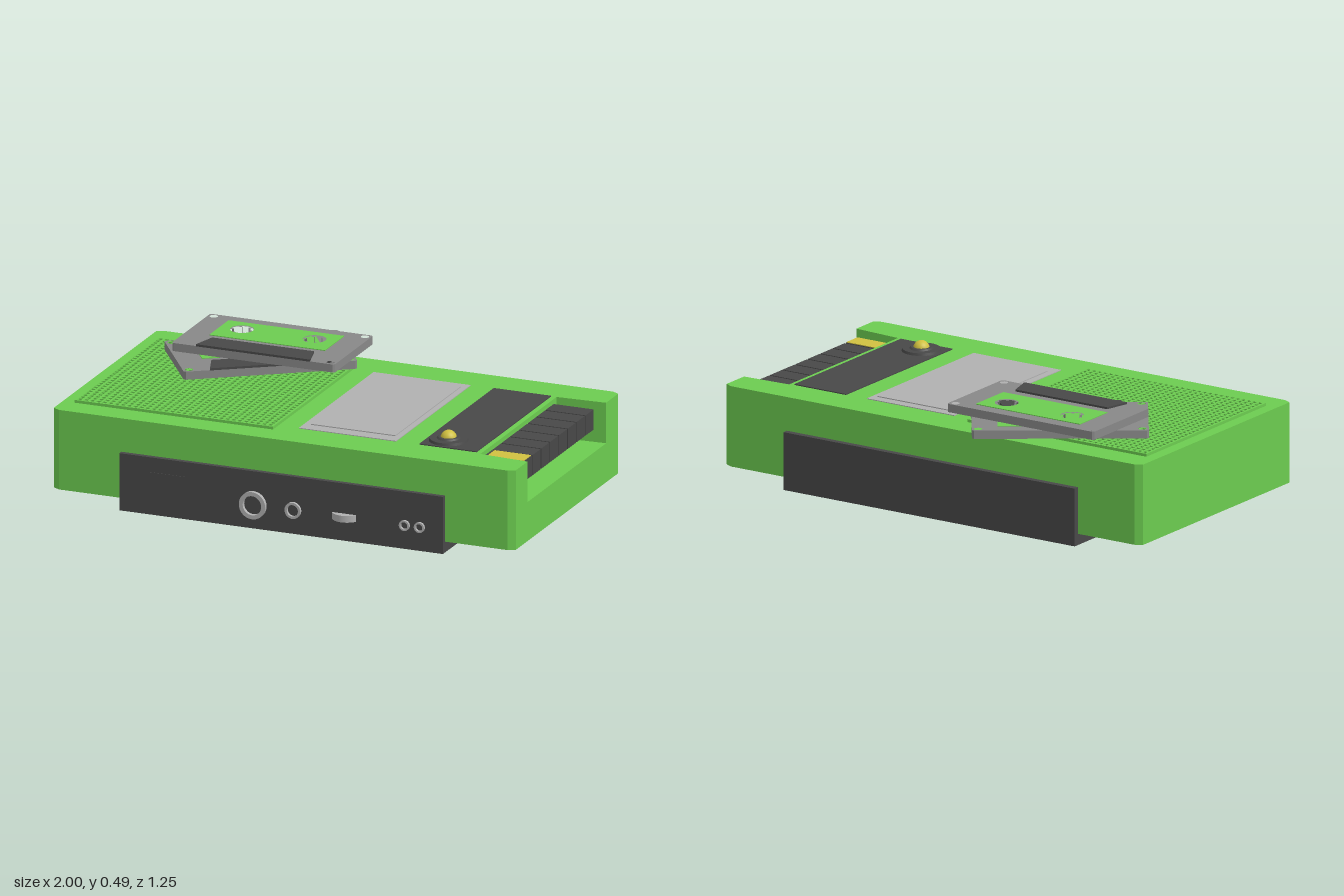
import * as THREE from 'three';

const paint = (color) => new THREE.MeshStandardMaterial({ color, flatShading: false });
const GREEN = paint(0x6ccc50), DARK = paint(0x484848), GREY = paint(0x888888),
  PALE = paint(0xb0b0b0), YELLOW = paint(0xd0c040);

function add(parent, name, geometry, material, x = 0, y = 0, z = 0) {
  const mesh = new THREE.Mesh(geometry, material);
  mesh.name = name;
  mesh.position.set(x, y, z);
  parent.add(mesh);
  return mesh;
}

// box given by its limits on each axis
function box(parent, name, material, [x0, x1], [y0, y1], [z0, z1]) {
  return add(parent, name, new THREE.BoxGeometry(x1 - x0, y1 - y0, z1 - z0), material,
    (x0 + x1) / 2, (y0 + y1) / 2, (z0 + z1) / 2);
}

const outline = (points) => points.map(([x, z]) => new THREE.Vector2(x, -z));

// horizontal plate from an outline in x and z, with optional holes
function slab(parent, name, material, points, y0, y1, holes = []) {
  const shape = new THREE.Shape(outline(points));
  holes.forEach((h) => shape.holes.push(new THREE.Path(outline(h))));
  const geometry = new THREE.ExtrudeGeometry(shape, { depth: y1 - y0, bevelEnabled: false });
  geometry.rotateX(-Math.PI / 2);
  return add(parent, name, geometry, material, 0, y0, 0);
}

const rect = (x0, x1, z0, z1) => [[x0, z0], [x1, z0], [x1, z1], [x0, z1]];

function circle(cx, cz, r, n = 20) {
  return Array.from({ length: n }, (_, i) => {
    const a = (i / n) * Math.PI * 2;
    return [cx + r * Math.cos(a), cz + r * Math.sin(a)];
  });
}

// round hole with six square teeth pointing inwards
function toothedHole(cx, cz, r) {
  const points = [];
  for (let i = 0; i < 6; i++) {
    for (const [da, k] of [[-0.13, 1], [-0.16, 0.78], [0.16, 0.78], [0.13, 1], [0.35, 1], [0.52, 1], [0.7, 1]]) {
      const a = (i * Math.PI) / 3 + da;
      points.push([cx + r * k * Math.cos(a), cz + r * k * Math.sin(a)]);
    }
  }
  return points;
}

// flat ring facing the front
function frontRing(parent, name, x, y, z0, z1, outer, inner) {
  const shape = new THREE.Shape().absarc(x, y, outer, 0, Math.PI * 2);
  if (inner) shape.holes.push(new THREE.Path().absarc(x, y, inner, 0, Math.PI * 2, true));
  const geometry = new THREE.ExtrudeGeometry(shape, { depth: z1 - z0, bevelEnabled: false, curveSegments: 20 });
  return add(parent, name, geometry, PALE, 0, 0, z0);
}

function makeCassette(name) {
  const cassette = new THREE.Group();
  cassette.name = name;
  const w = 0.3525, d = 0.1975, c = 0.008;
  const shell = [[-w + c, -d], [w - c, -d], [w, -d + c], [w, d - c], [w - c, d], [-w + c, d], [-w, d - c], [-w, -d + c]];
  const hubs = [-0.157, 0.157];
  const screws = [-1, 1].flatMap((sx) => [-1, 1].map((sz) => circle(sx * 0.327, sz * 0.173, 0.017, 12)));
  slab(cassette, 'cassetteShell', GREY, shell, 0, 0.034,
    [...hubs.map((x) => toothedHole(x, -0.06, 0.047)), ...screws]);
  // label with cut-outs around the hubs
  slab(cassette, 'cassetteLabel', GREEN, rect(-0.25, 0.25, -0.143, 0.053), 0.033, 0.037,
    hubs.map((x) => circle(x, -0.06, 0.048)));
  // raised tape window along the front edge
  slab(cassette, 'cassetteHeadCover', DARK,
    [[-0.22, 0.095], [0.22, 0.095], [0.247, d + 0.001], [-0.247, d + 0.001]], 0.033, 0.042);
  return cassette;
}

export function createModel() {
  const model = new THREE.Group();
  model.name = 'cassettePlayer';

  // case: full lower layer and an upper layer notched for the keys
  const left = [[-1, 0.558], [-1, -0.483], [-0.97, -0.5]];
  const right = [[0.97, -0.5], [1, -0.483]];
  const front = [[1, 0.558], [0.97, 0.575], [-0.97, 0.575]];
  const notch = [[1, -0.36], [0.79, -0.35], [0.79, 0.425], [1, 0.44]];
  slab(model, 'caseLower', GREEN, [...left, ...right, ...front], 0.046, 0.21);
  slab(model, 'caseUpper', GREEN, [...left, ...right, ...notch, ...front], 0.21, 0.38);
  box(model, 'baseTray', DARK, [-0.7, 0.7], [0, 0.24], [-0.525, 0.595]);

  // speaker grille: crossing bars
  const grille = new THREE.Group();
  grille.name = 'speakerGrille';
  model.add(grille);
  const [gx0, gx1, gz0, gz1] = [-0.95, -0.09, -0.385, 0.467], bars = 32, t = 0.005;
  for (let i = 0; i <= bars; i++) {
    const x = gx0 + t + ((gx1 - gx0 - 2 * t) * i) / bars;
    const z = gz0 + t + ((gz1 - gz0 - 2 * t) * i) / bars;
    box(grille, 'grilleBarLong', GREEN, [x - t, x + t], [0.375, 0.392], [gz0, gz1]);
    box(grille, 'grilleBarCross', GREEN, [gx0, gx1], [0.375, 0.3915], [z - t, z + t]);
  }

  // cassette door and control strip on the top
  box(model, 'doorFrame', PALE, [0, 0.42], [0.37, 0.383], [-0.345, 0.415]);
  box(model, 'doorPanel', PALE, [0.03, 0.395], [0.38, 0.387], [-0.305, 0.362]);
  box(model, 'controlStrip', DARK, [0.52, 0.768], [0.37, 0.384], [-0.345, 0.413]);

  // joystick
  add(model, 'knobPlate', new THREE.CylinderGeometry(0.076, 0.08, 0.012, 32), DARK, 0.61, 0.388, 0.325);
  add(model, 'knobCollar', new THREE.CylinderGeometry(0.042, 0.05, 0.008, 32), DARK, 0.61, 0.396, 0.325);
  add(model, 'knobBall', new THREE.SphereGeometry(0.033, 24, 16), YELLOW, 0.61, 0.393, 0.325);

  // row of keys, the front one with a coloured cap
  for (let i = 0; i < 8; i++) {
    const z = 0.351 - i * 0.0899;
    box(model, 'key', DARK, [0.785, 0.963], [0.275, 0.36], [z - 0.041, z + 0.041]);
    if (i === 0) box(model, 'keyCap', YELLOW, [0.803, 0.961], [0.359, 0.363], [z - 0.039, z + 0.039]);
  }

  // sockets and volume wheel on the front of the tray
  box(model, 'frontPlate', DARK, [-0.57, -0.41], [0.06, 0.178], [0.59, 0.597]);
  frontRing(model, 'largeSocket', -0.12, 0.1, 0.59, 0.611, 0.057, 0.04);
  frontRing(model, 'smallSocket', 0.053, 0.1, 0.59, 0.607, 0.034, 0.024);
  for (const x of [0.535, 0.6]) frontRing(model, 'pinSocket', x, 0.1, 0.59, 0.606, 0.022, 0.015);
  add(model, 'volumeWheel', new THREE.CylinderGeometry(0.06, 0.06, 0.028, 32), PALE, 0.272, 0.1, 0.565);

  // two loose cassettes, stacked
  const lower = makeCassette('lowerCassette');
  lower.position.set(-0.455, 0.402, -0.267);
  lower.rotation.y = THREE.MathUtils.degToRad(34.5);
  const upper = makeCassette('upperCassette');
  upper.position.set(-0.418, 0.446, -0.298);
  model.add(lower, upper);

  return model;
}
